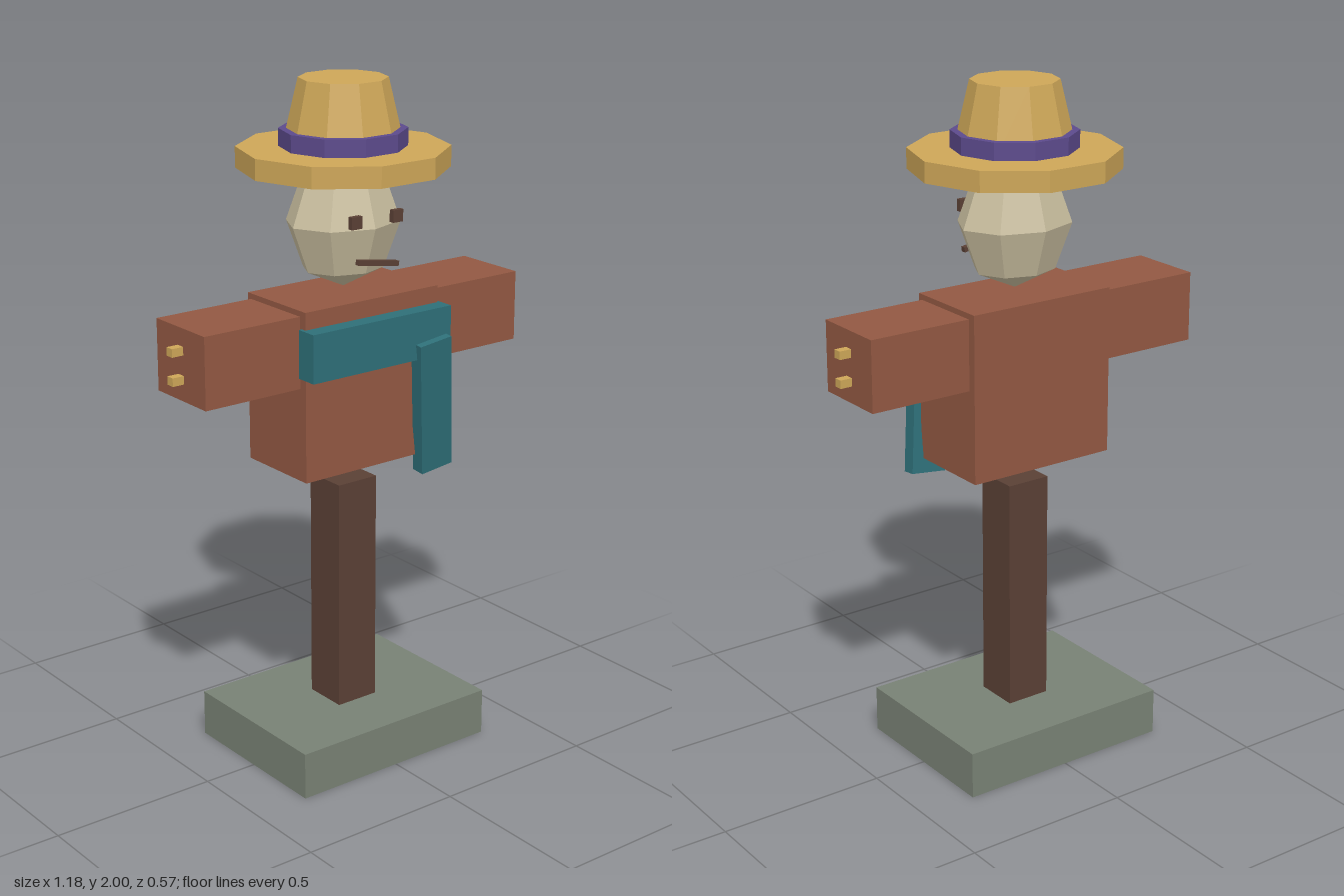
import * as THREE from 'three';

export function createModel() {
  const model = new THREE.Group();
  model.name = 'scarecrow';

  const paint = (name, color) => {
    const m = new THREE.MeshStandardMaterial({ color });
    m.name = name;
    m.flatShading = true;
    return m;
  };
  const stone = paint('stone', 0x788174);
  const wood = paint('darkWood', 0x5a4035);
  const rust = paint('rustCloth', 0x925842);
  const teal = paint('tealScarf', 0x2e6f78);
  const sack = paint('sackcloth', 0xc8bd9e);
  const straw = paint('straw', 0xcda658);
  const purple = paint('purpleBand', 0x5c4a8c);

  const add = (name, geometry, material, x, y, z) => {
    const mesh = new THREE.Mesh(geometry, material);
    mesh.name = name;
    mesh.position.set(x, y, z);
    model.add(mesh);
    return mesh;
  };
  const box = (name, material, w, h, d, x, y, z) =>
    add(name, new THREE.BoxGeometry(w, h, d), material, x, y, z);
  // Ten-sided hat section with corners on the x axis
  const ring = (name, material, top, bottom, y0, y1) => {
    const g = new THREE.CylinderGeometry(top, bottom, y1 - y0, 10).rotateY(Math.PI / 2);
    return add(name, g, material, 0, (y0 + y1) / 2, 0);
  };

  // Stand
  box('base', stone, 0.67, 0.14, 0.51, 0, 0.07, 0);
  box('post', wood, 0.136, 0.74, 0.136, 0, 0.47, 0);

  // Body, sleeves and straw tufts
  box('torso', rust, 0.47, 0.495, 0.27, 0, 1.1525, 0);
  for (const side of [1, -1]) {
    const label = side > 0 ? 'left' : 'right';
    box(label + 'Sleeve', rust, 0.315, 0.207, 0.23, side * 0.396, 1.282, 0);
    for (const y of [1.322, 1.24])
      box(label + 'StrawTuft', straw, 0.055, 0.024, 0.026, side * 0.562, y, 0);
    box(label + 'Eye', wood, 0.035, 0.035, 0.016, side * 0.072, 1.629, 0.147);
  }

  // Scarf with a hanging tail
  box('scarfBand', teal, 0.49, 0.14, 0.066, 0, 1.28, 0.151);
  box('scarfTail', teal, 0.112, 0.41, 0.042, 0.197, 1.06, 0.163).rotation.set(0.11, 0, 0.12);

  // Faceted head and crooked mouth
  add('head', new THREE.SphereGeometry(1, 8, 4).scale(0.175, 0.19, 0.145), sack, 0, 1.6, 0);
  box('mouth', wood, 0.142, 0.015, 0.016, 0, 1.507, 0.154).rotation.z = -0.16;

  // Hat
  ring('hatBrim', straw, 0.3, 0.3, 1.75, 1.81);
  ring('hatBand', purple, 0.18, 0.18, 1.81, 1.86);
  ring('hatCrown', straw, 0.125, 0.17, 1.81, 2);

  return model;
}
